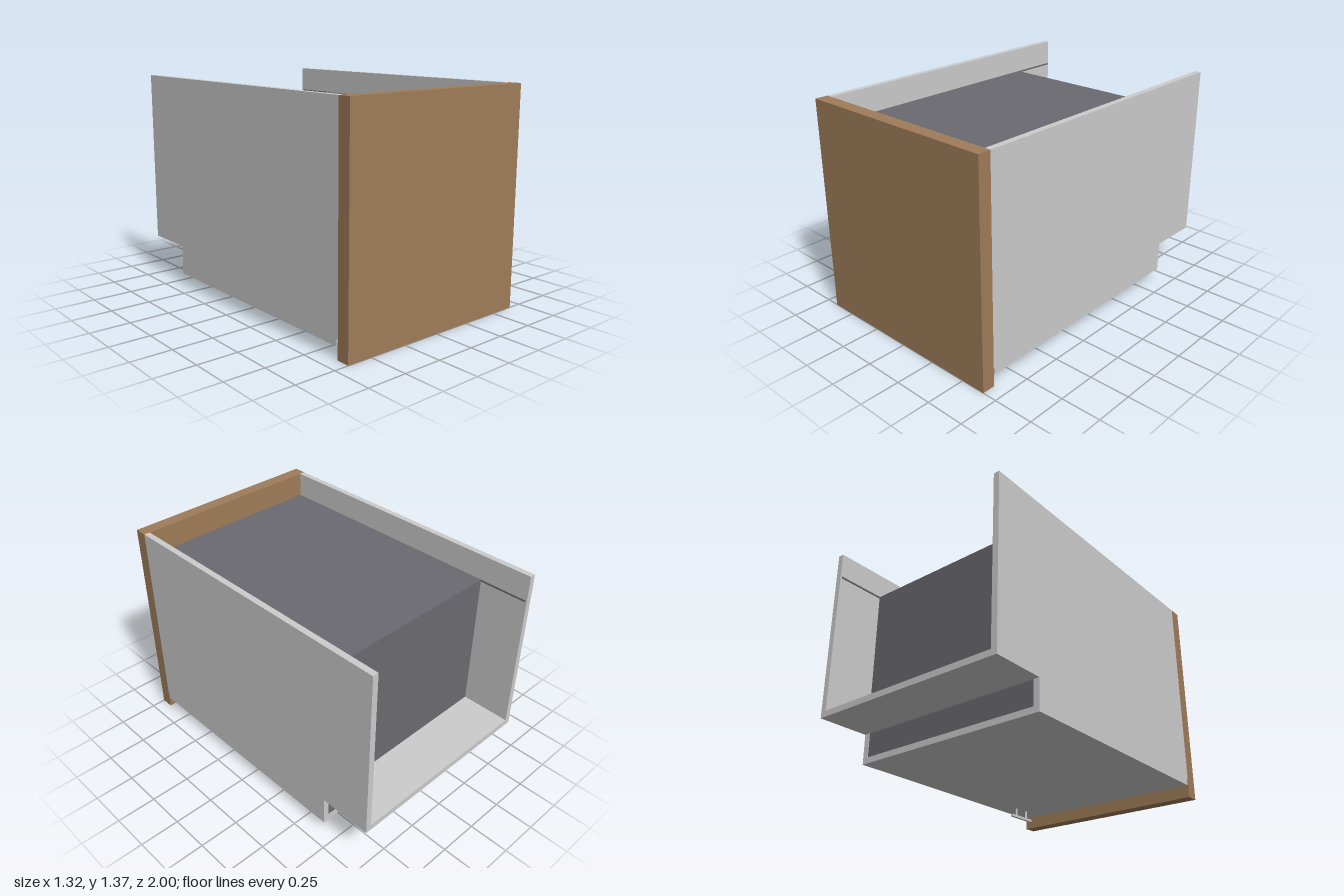
import * as THREE from 'three';

export function createModel() {
  const group = new THREE.Group();
  const grey = new THREE.MeshStandardMaterial({ color: 0xcccccc });
  const wood = new THREE.MeshStandardMaterial({ color: 0x9f7c59 });
  const dark = new THREE.MeshStandardMaterial({ color: 0x6a6a70 });

  const add = (name, geometry, material) => {
    const mesh = new THREE.Mesh(geometry, material);
    mesh.name = name;
    group.add(mesh);
    return mesh;
  };
  // Box given by its [min, max] extents on each axis
  const box = (name, [x0, x1], [y0, y1], [z0, z1], material) =>
    add(name, new THREE.BoxGeometry(x1 - x0, y1 - y0, z1 - z0), material)
      .position.set((x0 + x1) / 2, (y0 + y1) / 2, (z0 + z1) / 2);

  const W = 0.66, inner = 0.622, top = 1.37;

  // Wooden door panel
  box('frontPanel', [-W, W], [0, top], [0.918, 1], wood);

  // Side panels, notched at the lower back
  const profile = new THREE.Shape([
    [0.918, 0.113], [0.918, top], [-1, top], [-1, 0.265], [-0.663, 0.265], [-0.663, 0.113],
  ].map(([z, y]) => new THREE.Vector2(-z, y)));
  for (const side of [-1, 1]) {
    const geometry = new THREE.ExtrudeGeometry(profile, { depth: W - inner, bevelEnabled: false });
    geometry.rotateY(Math.PI / 2); // shape x becomes -z, depth becomes +x
    geometry.translate(side > 0 ? inner : -W, 0, 0);
    add(side > 0 ? 'leftSidePanel' : 'rightSidePanel', geometry, grey);

    // Thin rail on the inner face, in line with the top of the body
    const x = [side * inner, side * (inner - 0.005)].sort((a, b) => a - b);
    box(side > 0 ? 'leftRail' : 'rightRail', x, [1.2, 1.21], [-0.99, -0.676], dark);
  }

  // Base plate and raised rear shelf
  box('basePlate', [-W, W], [0.075, 0.113], [-0.663, 0.908], grey);
  box('rearShelf', [-inner, inner], [0.265, 0.303], [-1, -0.66], grey);

  // Dark inner body, with its lower back below the shelf
  box('innerBody', [-inner, inner], [0.303, 1.21], [-0.676, 0.918], dark);
  box('lowerBody', [-inner, inner], [0.113, 0.303], [-0.66, 0.908], dark);

  // Small handle under the base
  box('handleBar', [0.53, 0.55], [0.01, 0.026], [0.6, 0.812], grey);
  for (const z of [0.652, 0.758]) {
    const post = add('handlePost', new THREE.CylinderGeometry(0.007, 0.007, 0.05, 12), grey);
    post.position.set(0.54, 0.05, z);
  }

  return group;
}
